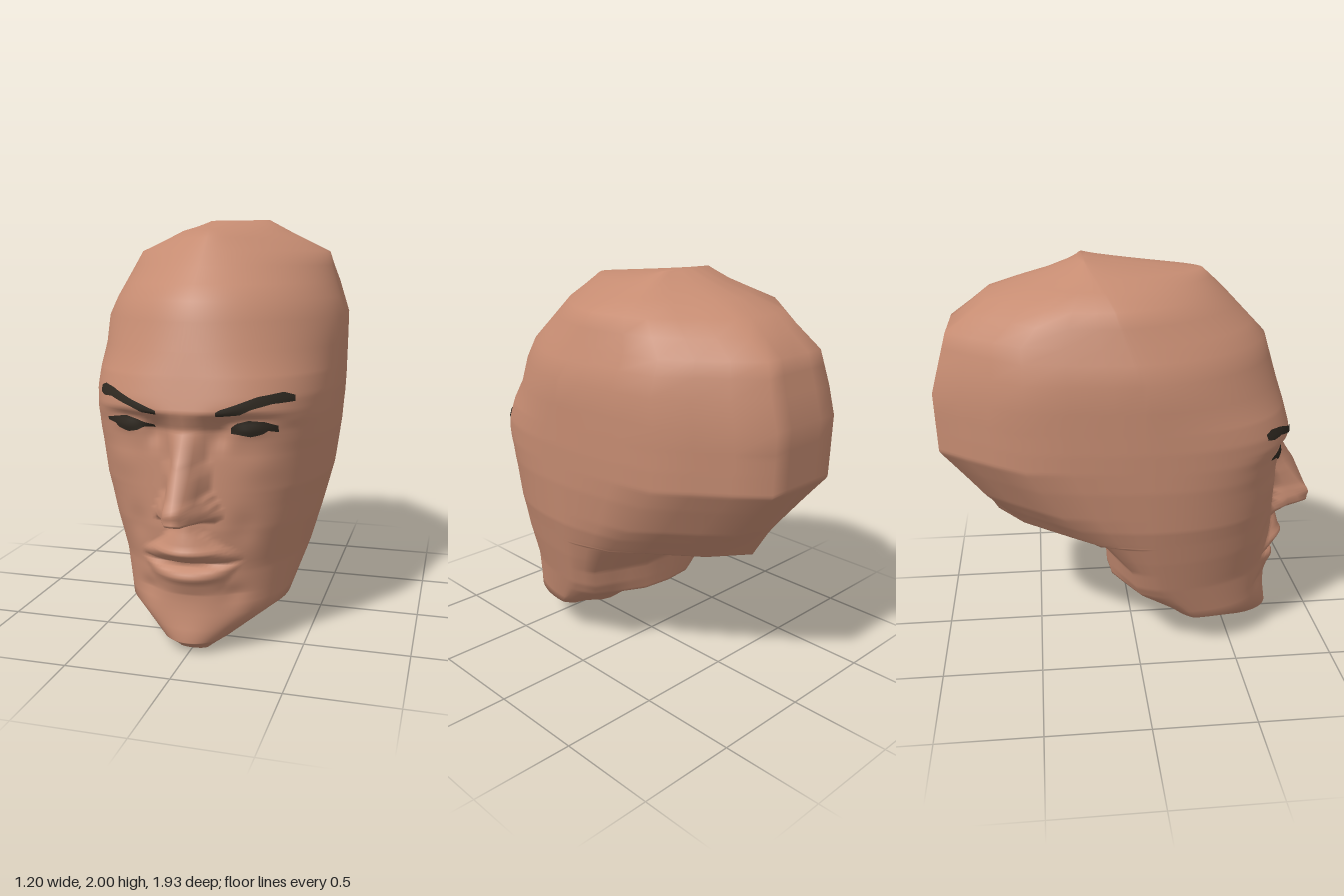
import * as THREE from 'three';

const skin = new THREE.MeshStandardMaterial({ color: 0xc68c72 });
skin.name = 'skin';
const hair = new THREE.MeshStandardMaterial({ color: 0x2f2921, side: THREE.DoubleSide });
hair.name = 'dark brown';

// Piecewise linear lookup in a list of [key, value]
function at(table, k) {
  if (k <= table[0][0]) return table[0][1];
  for (let i = 1; i < table.length; i++) {
    const [k0, v0] = table[i - 1], [k1, v1] = table[i];
    if (k <= k1) return v0 + (v1 - v0) * (k - k0) / (k1 - k0);
  }
  return table[table.length - 1][1];
}

// Head outline by height: half width, depth of widest point, front and back
const halfWidth = [[0, 0.07], [0.05, 0.16], [0.19, 0.39], [0.4, 0.46], [0.58, 0.51], [0.78, 0.56],
  [1, 0.585], [1.2, 0.595], [1.53, 0.6], [1.84, 0.49], [1.94, 0.28], [2, 0.16]];
const midZ = [[0, 0.64], [0.05, 0.52], [0.19, 0.3], [0.4, 0.12], [0.7, 0.05], [1.5, 0], [1.84, -0.12], [2, -0.23]];
const frontZ = [[0, 0.67], [0.06, 0.76], [0.2, 0.735], [0.43, 0.735], [0.6, 0.75], [0.75, 0.745], [0.95, 0.74],
  [1.3, 0.765], [1.62, 0.67], [1.86, 0.44], [1.94, 0.35], [2, -0.2]];
const backZ = [[0, 0.6], [0.05, 0.35], [0.23, 0.11], [0.34, -0.13], [0.5, -0.14], [0.675, -0.3], [0.685, -0.7],
  [1.1, -0.96], [1.4, -0.97], [1.69, -0.89], [1.86, -0.7], [1.94, -0.43], [2, -0.26]];

// Roundness of the front section, and fullness of the back section, by height
const frontPower = [[0.2, 2.1], [0.4, 2.15], [0.65, 2.35], [0.9, 2.55], [1.1, 2.75], [1.2, 2.65],
  [1.42, 1.95], [1.62, 1.85], [1.84, 1.6], [2, 1.6]];
const backFullness = [[0.2, 0.75], [0.5, 0.95], [0.675, 1], [0.685, 0.48], [0.85, 0.8], [1.1, 1],
  [1.69, 1], [1.84, 0.85], [1.94, 0.6]];
// Half of the back section: share of the half width, share of the depth
const backSection = [[0.99, 0.14], [0.95, 0.35], [0.89, 0.57], [0.71, 0.72], [0.53, 0.86], [0.34, 1], [0.17, 1]];

// Brow, nose and mouth relief by height
const browHeight = [[0.98, 0], [1.06, 0.004], [1.14, 0.056], [1.3, 0]];
const noseHeight = [[0.645, 0], [0.66, 0.17], [0.675, 0.2], [0.72, 0.22], [0.92, 0.13], [1.06, 0.03], [1.14, 0]];
const noseWidth = [[0.64, 0.15], [0.7, 0.14], [0.77, 0.1], [0.92, 0.08], [1.14, 0.09]];
const noseSection = [[0, 1], [0.33, 1], [0.55, 0.55], [0.85, 0.28], [1, 0]];
const lipHeight = [[0.28, 0], [0.34, 0.025], [0.375, 0.05], [0.405, 0.035], [0.43, -0.035], [0.445, 0.02],
  [0.5, 0.09], [0.53, 0.07], [0.6, 0.045], [0.64, 0.04], [0.7, 0]];
const lipWidth = [[0.28, 0.14], [0.375, 0.2], [0.43, 0.25], [0.47, 0.23], [0.53, 0.14], [0.6, 0.07], [0.7, 0.05]];

// Soft dents and swellings on each side: x, y, spread x, spread y, height
const swellings = [
  [0.27, 1.1, 0.12, 0.04, -0.03], // eye socket
  [0.29, 1.07, 0.08, 0.03, 0.02], // eyeball
  [0.15, 1.04, 0.04, 0.06, -0.03], // inner corner of the eye
  [0.33, 0.9, 0.1, 0.08, 0.01], // cheekbone
  [0.25, 0.6, 0.06, 0.08, -0.015], // cheek hollow
  [0.2, 0.28, 0.06, 0.05, -0.02], // beside the chin
];

// Depth of the face surface at x, y
function faceZ(x, y) {
  const ax = Math.abs(x), u = Math.min(1, ax / at(halfWidth, y));
  const mid = at(midZ, y), power = at(frontPower, y);
  let z = mid + (at(frontZ, y) - mid) * Math.pow(1 - Math.pow(u, power), 1 / power);
  z += at(browHeight, y) * Math.max(0, 1 - (ax / 0.55) ** 2);
  z += at(noseHeight, y) * at(noseSection, ax / at(noseWidth, y));
  const ly = y - 0.3 * Math.min(ax, 0.3) ** 2;
  z += at(lipHeight, ly) * Math.max(0, 1 - (ax / at(lipWidth, ly)) ** 2);
  for (const [cx, cy, sx, sy, h] of swellings)
    z += h * Math.exp(-(((ax - cx) / sx) ** 2) - ((y - cy) / sy) ** 2);
  return z;
}

// Head as stacked loops, fine over the face and coarse elsewhere
function headGeometry() {
  const rows = [0, 0.05, 0.06, 0.12, 0.19, 0.24];
  for (let y = 0.28; y < 1.29; y += 0.0125) rows.push(y);
  rows.push(0.675, 0.685, 1.3, 1.4, 1.53, 1.62, 1.69, 1.77, 1.84, 1.9, 1.94, 2);
  rows.sort((a, b) => a - b);
  const back = [...backSection, [0, 1], ...backSection.map(([u, d]) => [-u, d]).reverse()];
  const steps = 80, n = steps + 1 + back.length, points = [], faces = [];
  for (const y of rows) {
    const w = at(halfWidth, y), mid = at(midZ, y), depth = mid - at(backZ, y);
    for (let i = 0; i <= steps; i++) {
      const s = Math.sin(-Math.PI / 2 + Math.PI * i / steps);
      const x = w * Math.sign(s) * Math.pow(Math.abs(s), 2 / at(frontPower, y));
      points.push(x, y, faceZ(x, y));
    }
    const full = at(backFullness, y);
    for (const [u, d] of back)
      points.push(w * u, y, mid - depth * (full * d + (1 - full) * (1 - Math.abs(u))));
  }
  for (let r = 0; r < rows.length - 1; r++)
    for (let i = 0; i < n; i++) {
      const a = r * n + i, b = r * n + (i + 1) % n;
      faces.push(a, b, b + n, a, b + n, a + n);
    }
  // Close the chin and the crown
  const last = (rows.length - 1) * n, bottom = points.length / 3;
  points.push(0, 0, 0.635, 0, 2, -0.23);
  for (let i = 0; i < n; i++) {
    const j = (i + 1) % n;
    faces.push(bottom, j, i, bottom + 1, last + i, last + j);
  }
  const geometry = new THREE.BufferGeometry();
  geometry.setAttribute('position', new THREE.Float32BufferAttribute(points, 3));
  geometry.setIndex(faces);
  geometry.computeVertexNormals();
  return geometry;
}

// Thin patch lying on the face between an upper and a lower edge
function facePatch(name, upper, lower, lift = 0.006) {
  const x0 = upper[0][0], x1 = upper[upper.length - 1][0];
  const geometry = new THREE.PlaneGeometry(1, 1, 28, 4), p = geometry.attributes.position;
  for (let i = 0; i < p.count; i++) {
    const x = x0 + (x1 - x0) * (p.getX(i) + 0.5), t = p.getY(i) + 0.5;
    const y = at(lower, x) + (at(upper, x) - at(lower, x)) * t;
    p.setXYZ(i, x, y, faceZ(x, y) + lift);
  }
  geometry.computeVertexNormals();
  const mesh = new THREE.Mesh(geometry, hair);
  mesh.name = name;
  return mesh;
}

export function createModel() {
  const group = new THREE.Group();
  group.name = 'head';
  const head = new THREE.Mesh(headGeometry(), skin);
  head.name = 'skull and face';
  group.add(head);

  // Eyebrows
  group.add(facePatch('left eyebrow',
    [[0.15, 1.15], [0.17, 1.162], [0.22, 1.178], [0.32, 1.215], [0.42, 1.23], [0.463, 1.212]],
    [[0.15, 1.13], [0.25, 1.138], [0.3, 1.162], [0.38, 1.182], [0.463, 1.185]]));
  group.add(facePatch('right eyebrow',
    [[-0.452, 1.225], [-0.42, 1.24], [-0.36, 1.23], [-0.25, 1.19], [-0.12, 1.148]],
    [[-0.452, 1.195], [-0.42, 1.185], [-0.37, 1.19], [-0.25, 1.157], [-0.19, 1.135], [-0.12, 1.13]]));

  // Eyes: dark upper lash line with the iris hanging below it
  group.add(facePatch('left eye',
    [[0.205, 1.075], [0.23, 1.095], [0.28, 1.108], [0.35, 1.1], [0.4, 1.08]],
    [[0.205, 1.05], [0.24, 1.045], [0.29, 1.034], [0.34, 1.046], [0.36, 1.06], [0.4, 1.05]]));
  group.add(facePatch('right eye',
    [[-0.405, 1.085], [-0.35, 1.097], [-0.29, 1.108], [-0.23, 1.095], [-0.19, 1.082], [-0.15, 1.072]],
    [[-0.405, 1.07], [-0.36, 1.065], [-0.33, 1.046], [-0.28, 1.034], [-0.23, 1.045], [-0.2, 1.062], [-0.15, 1.06]]));
  return group;
}
